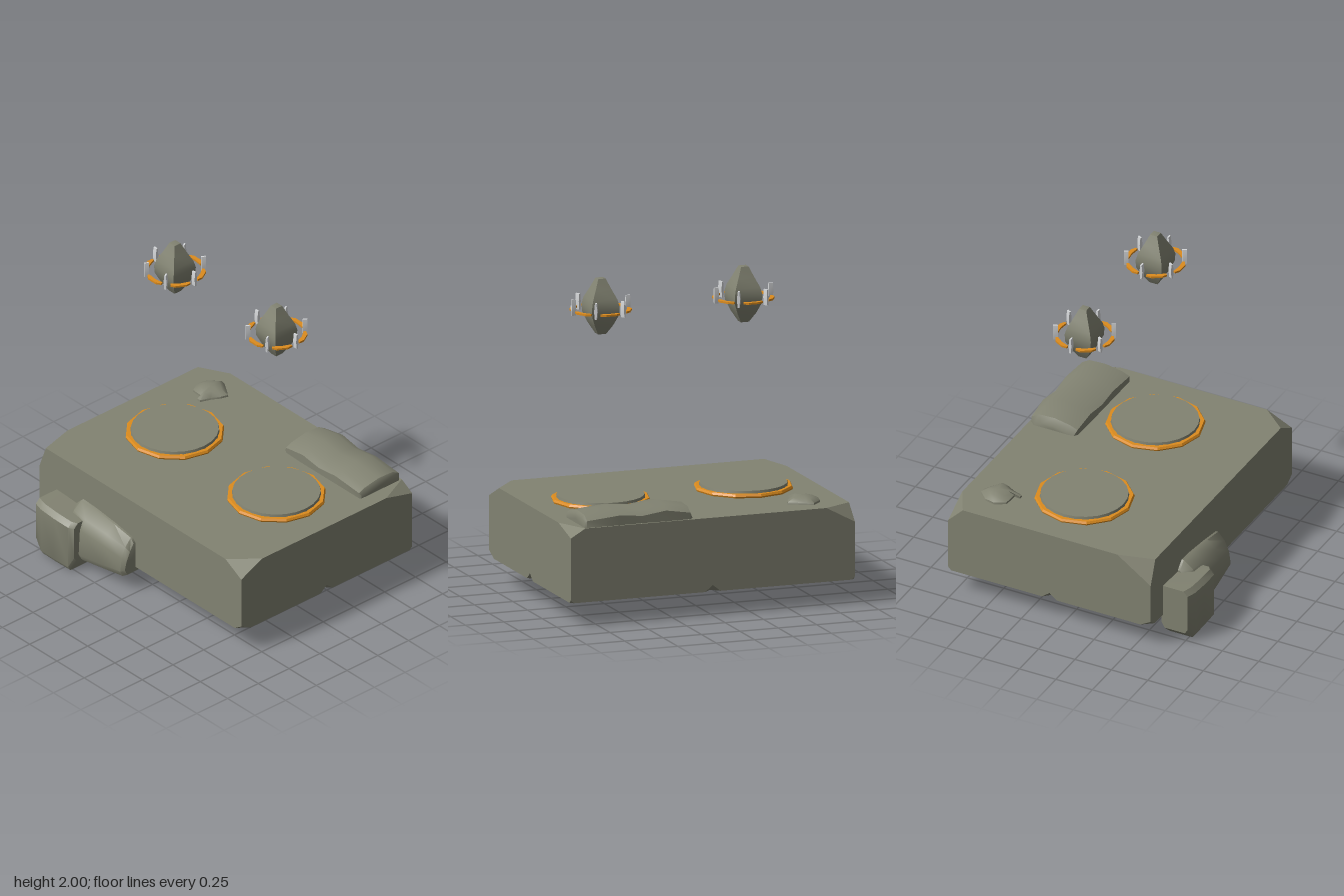
import * as THREE from 'three';
import { toCreasedNormals } from 'three/addons/utils/BufferGeometryUtils.js';

const V = (x, y, z) => new THREE.Vector3(x, y, z);
const stone = new THREE.MeshStandardMaterial({ color: 0x828372 });
const amber = new THREE.MeshStandardMaterial({ color: 0xdc8c1e });
const silver = new THREE.MeshStandardMaterial({ color: 0xd6d8da });
stone.name = 'stone'; amber.name = 'amber'; silver.name = 'silver';

function add(parent, name, geometry, material, x = 0, y = 0, z = 0) {
  const mesh = new THREE.Mesh(geometry, material);
  mesh.name = name;
  mesh.position.set(x, y, z);
  parent.add(mesh);
  return mesh;
}

function fromTriangles(tris) {
  const g = new THREE.BufferGeometry().setFromPoints(tris.flat());
  g.computeVertexNormals();
  return g;
}

// Skin a row of equal-length closed sections and cap both ends.
function loft(sections, crease = 0.75) {
  const n = sections[0].length, tris = [];
  for (let s = 0; s + 1 < sections.length; s++) {
    for (let i = 0; i < n; i++) {
      const j = (i + 1) % n, a = sections[s], b = sections[s + 1];
      tris.push([a[i], a[j], b[j]], [a[i], b[j], b[i]]);
    }
  }
  [sections[0], sections[sections.length - 1]].forEach((ring, end) => {
    const c = V(0, 0, 0);
    ring.forEach(p => c.addScaledVector(p, 1 / n));
    ring.forEach((p, i) => {
      const q = ring[(i + 1) % n];
      tris.push(end ? [p, q, c] : [q, p, c]);
    });
  });
  // Turn the skin outward if its signed volume is negative
  let volume = 0;
  for (const [a, b, c] of tris) volume += a.dot(b.clone().cross(c));
  if (volume < 0) tris.forEach(t => t.reverse());
  return toCreasedNormals(fromTriangles(tris), crease);
}

// Slab with chipped corners and three small notches along the bottom edges.
function slabGeometry() {
  const centre = [0, 0.38, -0.095], half = [0.925, 0.23, 0.695];
  // Chip lengths along x, y, z, keyed by corner signs
  const chips = {
    '-1,1,1': [0.06, 0.16, 0.23], '1,1,1': [0.145, 0.08, 0.17],
    '1,1,-1': [0.095, 0.055, 0.21], '-1,1,-1': [0.185, 0.1, 0.1],
    '-1,-1,1': [0.055, 0.04, 0.07], '1,-1,1': [0.06, 0.04, 0.08],
    '1,-1,-1': [0.02, 0.02, 0.02], '-1,-1,-1': [0.02, 0.02, 0.02],
  };
  const at = signs => signs.map((s, k) => centre[k] + s * half[k]);
  const chip = (signs, axis) => {
    const p = at(signs);
    p[axis] -= signs[axis] * chips[signs.join()][axis];
    return p;
  };
  const shift = (p, axis, d) => p.map((v, k) => (k === axis ? v + d : v));
  const tris = [];
  const tri = (...pts) => {
    const [a, b, c] = pts.map(p => V(...p));
    const normal = b.clone().sub(a).cross(c.clone().sub(a));
    const out = a.clone().add(b).add(c).divideScalar(3).sub(V(...centre));
    tris.push(normal.dot(out) > 0 ? [a, b, c] : [a, c, b]);
  };
  // Six main faces
  for (let axis = 0; axis < 3; axis++) for (const side of [-1, 1]) {
    const u = (axis + 1) % 3, v = (axis + 2) % 3, poly = [];
    [[-1, -1], [1, -1], [1, 1], [-1, 1]].forEach(([su, sv], i) => {
      const signs = [0, 0, 0];
      signs[axis] = side; signs[u] = su; signs[v] = sv;
      const run = i % 2 ? v : u, fixed = i % 2 ? u : v;
      poly.push(chip(signs, fixed), chip(signs, run));
      const edge = signs.slice();
      edge[run] = 0;
      if (run !== 1 && edge[1] === -1 && edge[2] !== 1) {
        const mid = at(edge), dir = -signs[run];
        poly.push(shift(mid, run, -0.05 * dir));
        poly.push(shift(mid, fixed, -edge[fixed] * (fixed === 1 ? 0.04 : 0.05)));
        poly.push(shift(mid, run, 0.05 * dir));
      }
    });
    const flat = poly.map(p => new THREE.Vector2(p[u], p[v]));
    for (const [a, b, c] of THREE.ShapeUtils.triangulateShape(flat, [])) tri(poly[a], poly[b], poly[c]);
  }
  // Corner chips
  for (const key of Object.keys(chips)) {
    const signs = key.split(',').map(Number);
    tri(chip(signs, 0), chip(signs, 1), chip(signs, 2));
  }
  // Notch walls
  for (const [edge, run, fixed] of [[[1, -1, 0], 2, 0], [[-1, -1, 0], 2, 0], [[0, -1, -1], 0, 2]]) {
    const mid = at(edge), up = shift(mid, 1, 0.04), inward = shift(mid, fixed, -edge[fixed] * 0.05);
    for (const d of [-0.05, 0.05]) tri(shift(mid, run, d), up, inward);
  }
  return fromTriangles(tris);
}

// Rocks lying on the slab and leaning on its front.
function addRocks(model) {
  // Long rock: [x, ridge height, z back, z front]
  const long = [[0.115, 0.64, -0.75, -0.48], [0.14, 0.685, -0.775, -0.46], [0.3, 0.712, -0.78, -0.455],
    [0.45, 0.69, -0.775, -0.455], [0.6, 0.706, -0.78, -0.455], [0.815, 0.687, -0.78, -0.455], [0.828, 0.67, -0.77, -0.465]];
  add(model, 'longRock', loft(long.map(([x, y, b, f]) => [
    V(x, 0.605, b), V(x, y - 0.035, b), V(x, y - 0.005, b + 0.05),
    V(x, y, (b + f) / 2), V(x, y - 0.02, f + -0.05), V(x, y - 0.04, f), V(x, 0.605, f)])), stone);

  // Leaning rock: [x, bottom, top, z front]
  const leaning = [[-0.57, 0.12, 0.36, 0.69], [-0.52, 0.07, 0.41, 0.72], [-0.4, 0.072, 0.403, 0.73],
    [-0.22, 0.09, 0.38, 0.715], [-0.07, 0.105, 0.355, 0.7], [-0.045, 0.12, 0.325, 0.685]];
  add(model, 'leaningRock', loft(leaning.map(([x, b, t, f]) => [
    V(x, b, 0.555), V(x, t, 0.56), V(x, t, 0.615), V(x, t - 0.05, f - 0.04),
    V(x, t - 0.12, f - 0.01), V(x, b + 0.04, f), V(x, b, f - 0.02)])), stone);

  // Upright rock: [x, bottom, top, z front]
  const upright = [[-0.765, 0.06, 0.36, 0.77], [-0.7, 0.0, 0.358, 0.788], [-0.58, 0, 0.35, 0.79],
    [-0.45, 0, 0.345, 0.787], [-0.42, 0.07, 0.34, 0.765]];
  add(model, 'uprightRock', loft(upright.map(([x, b, t, f]) => [
    V(x, b, 0.61), V(x, 0.1, 0.59), V(x, t, 0.59), V(x, t, f - 0.03), V(x, t - 0.03, f),
    V(x, b + 0.03, f), V(x, b, f - 0.02)])), stone);

  // Small shard, layered upward
  const outline = [[-0.7, -0.685], [-0.66, -0.675], [-0.555, -0.61], [-0.57, -0.56], [-0.6, -0.51], [-0.625, -0.44],
    [-0.65, -0.44], [-0.645, -0.48], [-0.74, -0.485], [-0.78, -0.55], [-0.765, -0.62]];
  add(model, 'smallRock', loft([[1, 0.605], [0.98, 0.622], [0.6, 0.645], [0.2, 0.652]].map(([s, y]) =>
    outline.map(([x, z]) => V(-0.67 + (x + 0.67) * s, y, -0.58 + (z + 0.58) * s))), 0.9), stone);
}

// Flat arc plate of the floating ring.
function arcGeometry() {
  const a = 0.36, shape = new THREE.Shape();
  const polar = (r, t) => new THREE.Vector2(r * Math.cos(t), r * Math.sin(t));
  shape.setFromPoints([polar(0.165, -a), polar(0.18, -a), polar(0.19, -a / 2), polar(0.19, a / 2),
    polar(0.18, a), polar(0.165, a), polar(0.162, 0)]);
  return new THREE.ExtrudeGeometry(shape, { depth: 0.012, bevelEnabled: false }).rotateX(-Math.PI / 2);
}

// Upright pin, pinched at both ends.
function pinGeometry() {
  const g = new THREE.BoxGeometry(0.028, 0.1, 0.02, 1, 2, 1), p = g.attributes.position;
  for (let i = 0; i < p.count; i++) if (Math.abs(p.getY(i)) > 0.04) p.setZ(i, p.getZ(i) * 0.5);
  g.computeVertexNormals();
  return toCreasedNormals(g, 0.5);
}

// Pad with amber rim and the crystal floating above it.
function addStation(model, x) {
  const station = new THREE.Group();
  station.name = 'station';
  station.position.set(x, 0, -0.095);
  model.add(station);

  const rim = [[0.274, 0.61], [0.302, 0.612], [0.306, 0.622], [0.298, 0.635], [0.274, 0.635]];
  add(station, 'padRim', toCreasedNormals(
    new THREE.LatheGeometry(rim.map(p => new THREE.Vector2(...p)), 12), 0.3), amber);
  add(station, 'pad', new THREE.CylinderGeometry(0.268, 0.278, 0.045, 24), stone, 0, 0.629, 0);

  // Four-sided crystal; radii are measured to the flat sides
  const profile = [[0, 1.65], [0.026, 1.65], [0.06, 1.71], [0.087, 1.775], [0.09, 1.825],
    [0.08, 1.87], [0.052, 1.93], [0.024, 1.995], [0, 2]];
  const crystal = new THREE.LatheGeometry(
    profile.map(([r, y]) => new THREE.Vector2(r * Math.SQRT2, y)), 4).rotateY(Math.PI / 4);
  add(station, 'crystal', toCreasedNormals(crystal, 0.6), stone);

  const arc = arcGeometry(), pin = pinGeometry();
  for (let i = 0; i < 6; i++) {
    const t = i * Math.PI / 3;
    add(station, 'ringArc', arc, amber, 0, 1.794, 0).rotation.y = t + Math.PI / 6;
    add(station, 'ringPin', pin, silver, 0.177 * Math.cos(t), 1.825, -0.177 * Math.sin(t)).rotation.y = t;
  }
}

export function createModel() {
  const model = new THREE.Group();
  model.name = 'crystalPlatform';
  add(model, 'slab', slabGeometry(), stone);
  addRocks(model);
  for (const x of [-0.465, 0.465]) addStation(model, x);
  return model;
}
